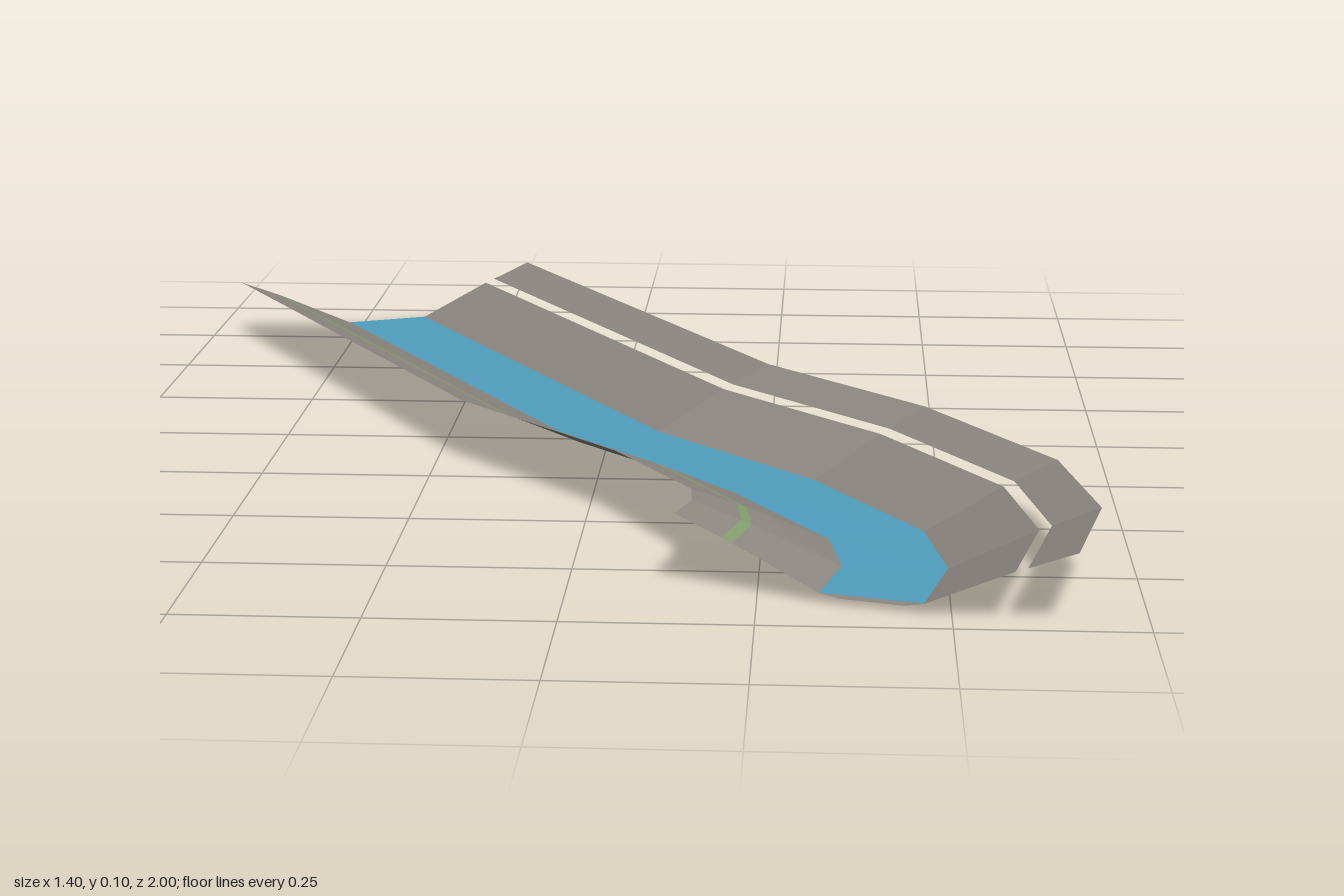
import * as THREE from 'three';

// Stations along the channel: left rim [x, z], right rim [x, z], base height
const STATIONS = [
  [-0.702, -0.77, -0.215, -1.0, 0.0],
  [-0.21, 0.16, 0.243, -0.13, 0.003],
  [0.04, 0.47, 0.482, 0.16, 0.004],
  [0.157, 0.69, 0.658, 0.493, 0.006],
  [0.16, 0.755, 0.7, 0.76, 0.007],
  [0.14, 0.83, 0.655, 0.995, 0.008],
];

const material = (name, color) => {
  const m = new THREE.MeshStandardMaterial({ color, side: THREE.DoubleSide, flatShading: true });
  m.name = name;
  return m;
};

// Sweeps a cross-section of [fraction from left rim to right rim, height] points
function sweep(name, profile, mat) {
  const positions = [];
  const point = (s, [f, y]) => [
    THREE.MathUtils.lerp(s[0], s[2], f), s[4] + y, THREE.MathUtils.lerp(s[1], s[3], f),
  ];
  for (let i = 0; i < STATIONS.length - 1; i++) {
    for (let j = 0; j < profile.length - 1; j++) {
      const a = point(STATIONS[i], profile[j]);
      const b = point(STATIONS[i + 1], profile[j]);
      const c = point(STATIONS[i + 1], profile[j + 1]);
      const d = point(STATIONS[i], profile[j + 1]);
      positions.push(...a, ...b, ...c, ...a, ...c, ...d);
    }
  }
  const geometry = new THREE.BufferGeometry();
  geometry.setAttribute('position', new THREE.Float32BufferAttribute(positions, 3));
  geometry.computeVertexNormals();
  const mesh = new THREE.Mesh(geometry, mat);
  mesh.name = name;
  return mesh;
}

export function createModel() {
  const stone = material('stone', 0x8f8982);
  const water = material('water', 0x4f9fc0);
  const moss = material('moss', 0x85a06e);
  const group = new THREE.Group();
  group.name = 'riverChannel';

  group.add(
    // Banks: the right one is split by a narrow open slot
    sweep('leftRim', [[0, 0.092], [0.122, 0.066]], stone),
    sweep('mossLine', [[0.122, 0.066], [0.148, 0.06]], moss),
    sweep('leftBank', [[0.148, 0.06], [0.37, 0.005]], stone),
    sweep('rightBank', [[0.63, 0.005], [0.85, 0.06]], stone),
    sweep('rightRim', [[0.88, 0.066], [1, 0.092]], stone),
    // Shallow bed with the water surface just above it
    sweep('bed', [[0.37, 0.005], [0.42, 0], [0.58, 0], [0.63, 0.005]], stone),
    sweep('waterSurface', [[0.37, 0.0055], [0.63, 0.0055]], water),
  );
  return group;
}
